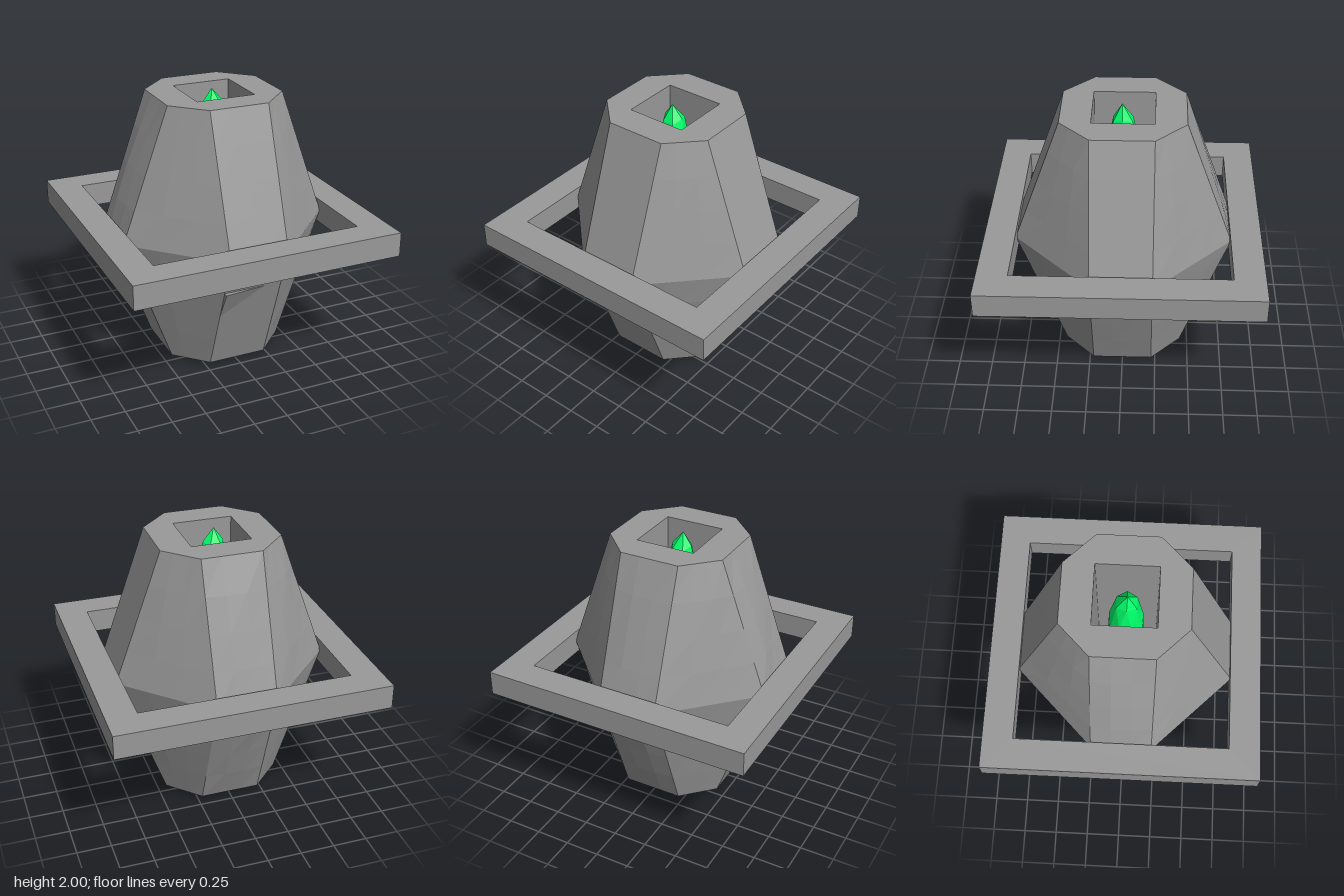
import * as THREE from 'three';
import { ConvexGeometry } from 'three/addons/geometries/ConvexGeometry.js';

const Y0 = 0.025, Y1 = 1.98, MID = 1.0;   // body bottom, top and widest height
const R_END = 0.44, R_MID = 0.79, HALF = 0.22;

// How far each face swells, starting at +x and going round past +z, -x and -z
const UPPER_SWELL = [0, 0.006, 0, 0.006, 0.022, 0.012, 0.015, 0.008];
const LOWER_SWELL = [0.004, 0.01, 0, 0.006, 0.003, 0.01, 0.022, 0.008];

const stone = new THREE.MeshStandardMaterial({ color: 0x999999, flatShading: true });
const inner = new THREE.MeshStandardMaterial({ color: 0x999999, flatShading: true, side: THREE.BackSide });
const green = new THREE.MeshStandardMaterial({ color: 0x00ff6a, flatShading: true });

function seeded(seed) {
  return () => {
    seed = (seed * 16807) % 2147483647;
    return seed / 2147483647;
  };
}

function add(group, name, geometry, material) {
  const mesh = new THREE.Mesh(geometry, material);
  mesh.name = name;
  group.add(mesh);
  return mesh;
}

// Eight-sided outline whose sides facing the axes are 2 * HALF wide
function octagon(r) {
  const h = HALF;
  return [[r, -h], [r, h], [h, r], [-h, r], [-r, h], [-r, -h], [-h, -r], [h, -r]];
}

// One rough stone face: straight borders, slightly hewn interior
function stoneFace(k, yLow, rLow, yHigh, rHigh, swell, seed) {
  const nu = 3, nv = 4, rand = seeded(seed);
  const low = octagon(rLow), high = octagon(rHigh), n = (k + 1) % 8;
  const angle = k * Math.PI / 4;
  const grid = [];
  for (let j = 0; j <= nv; j++) {
    for (let i = 0; i <= nu; i++) {
      const u = i / nu, v = j / nv;
      const at = (c) => THREE.MathUtils.lerp(
        THREE.MathUtils.lerp(low[k][c], low[n][c], u),
        THREE.MathUtils.lerp(high[k][c], high[n][c], u), v);
      const inside = i > 0 && i < nu && j > 0 && j < nv;
      const d = inside ? swell * (0.5 + rand()) : 0;
      grid.push(at(0) + d * Math.cos(angle), THREE.MathUtils.lerp(yLow, yHigh, v), at(1) + d * Math.sin(angle));
    }
  }
  const index = [];
  for (let j = 0; j < nv; j++) {
    for (let i = 0; i < nu; i++) {
      const a = j * (nu + 1) + i, b = a + 1, c = a + nu + 1, d = c + 1;
      index.push(a, c, b, b, c, d);
    }
  }
  const g = new THREE.BufferGeometry();
  g.setAttribute('position', new THREE.Float32BufferAttribute(grid, 3));
  g.setIndex(index);
  g.computeVertexNormals();
  return g;
}

function square(r) {
  return [[-r, -r], [r, -r], [r, r], [-r, r]].map(([x, y]) => new THREE.Vector2(x, y));
}

export function createModel() {
  const model = new THREE.Group();
  model.name = 'crystalShrine';

  // Stone body, two tapering halves meeting at the frame
  const body = new THREE.Group();
  body.name = 'stoneBody';
  model.add(body);
  for (let k = 0; k < 8; k++) {
    add(body, 'upperFace', stoneFace(k, MID, R_MID, Y1, R_END, UPPER_SWELL[k], 100 + k * 37), stone);
    add(body, 'lowerFace', stoneFace(k, Y0, R_END, MID, R_MID, LOWER_SWELL[k], 900 + k * 53), stone);
  }

  // Three-cornered chip standing slightly proud of the lower front face
  const onFront = (x, y, out) => new THREE.Vector3(x, y,
    THREE.MathUtils.mapLinear(y, Y0, MID, R_END, R_MID) + out);
  add(body, 'stoneChip', new ConvexGeometry([
    onFront(-HALF, 0.72, -0.01), onFront(0.09, 0.72, -0.01), onFront(-HALF, 0.5, 0),
    onFront(-HALF, 0.72, 0.035), onFront(0.09, 0.72, 0.002),
  ]), stone);

  // Flat ends with a square opening
  const end = new THREE.Shape(octagon(R_END).map(([x, y]) => new THREE.Vector2(x, y)));
  end.holes.push(new THREE.Path(square(HALF)));
  for (const s of [1, -1]) {
    const cap = add(body, s > 0 ? 'topRim' : 'bottomRim', new THREE.ShapeGeometry(end), stone);
    cap.rotation.x = -s * Math.PI / 2;
    cap.position.y = s > 0 ? Y1 : Y0;
  }

  // Square shaft running through the body
  const shaft = add(body, 'shaftWalls',
    new THREE.CylinderGeometry(HALF * Math.SQRT2, HALF * Math.SQRT2, Y1 - Y0, 4, 1, true), inner);
  shaft.rotation.y = Math.PI / 4;
  shaft.position.y = (Y0 + Y1) / 2;

  // Square frame around the waist
  const ring = new THREE.Shape(square(1));
  ring.holes.push(new THREE.Path(square(0.777)));
  const frame = add(model, 'squareFrame',
    new THREE.ExtrudeGeometry(ring, { depth: 0.18, bevelEnabled: false }), stone);
  frame.rotation.x = -Math.PI / 2;
  frame.position.y = 0.91;

  // Long faceted crystal in the shaft, with blunt tips slightly off centre
  const gem = new THREE.IcosahedronGeometry(1, 1);
  const p = gem.attributes.position;
  for (let i = 0; i < p.count; i++) {
    const y = p.getY(i);
    const tall = Math.sign(y) * Math.abs(y) ** 0.6;
    p.setXYZ(i, p.getX(i) * 0.14 - 0.018 * y ** 3, 1 + tall, p.getZ(i) * 0.14 + 0.012 * y ** 3);
  }
  gem.computeVertexNormals();
  add(model, 'crystal', gem, green);

  return model;
}
